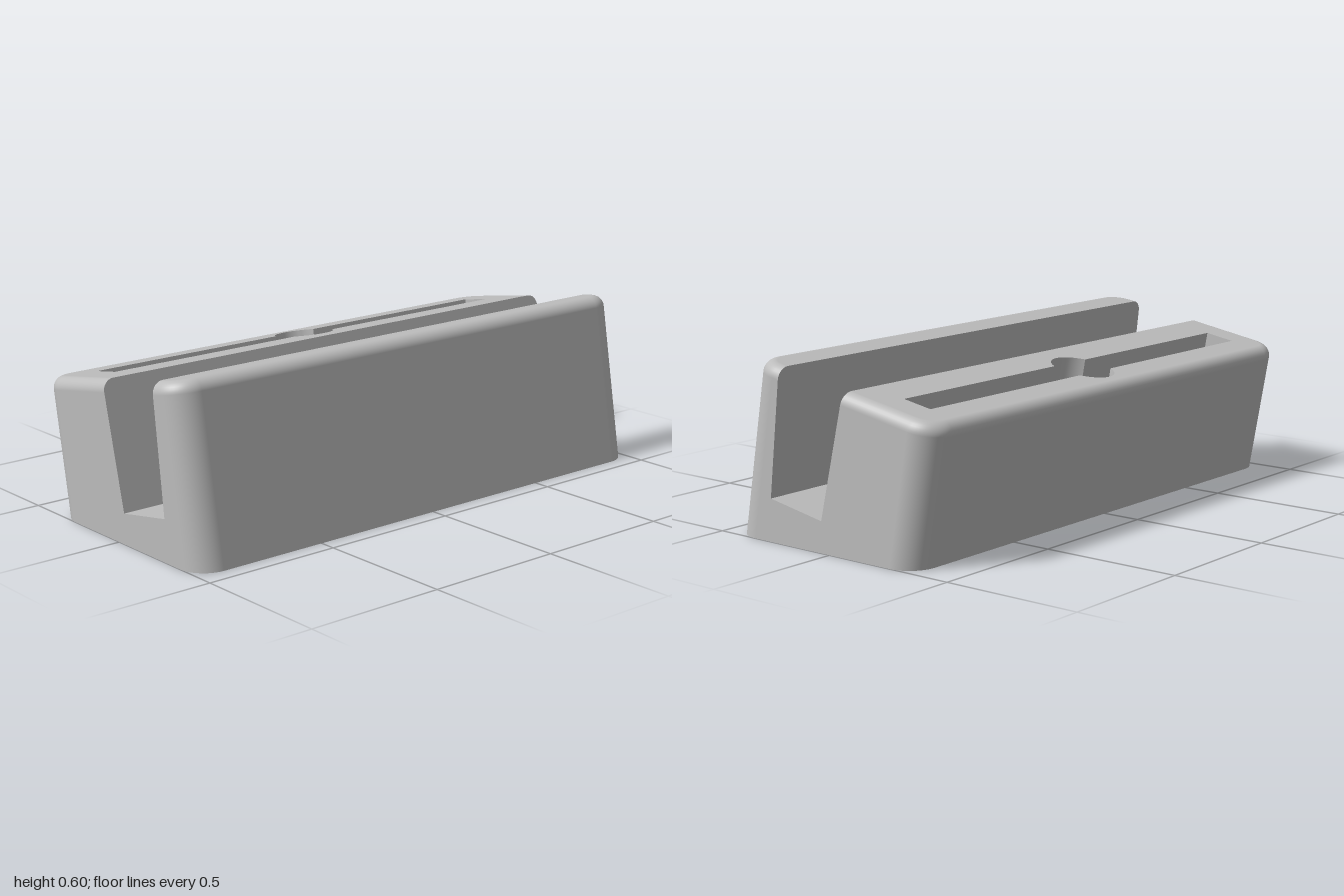
import * as THREE from 'three';
import { toCreasedNormals } from 'three/addons/utils/BufferGeometryUtils.js';

const TILT = THREE.MathUtils.degToRad(10);
const FRONT = 0.435, BACK = -0.3565, TOP = 0.543; // block limits in its tilted frame
const CORNER = 0.1, FILLET = 0.042;               // upright and top edge radii
const FLOOR = 0.1, MID = 0.168;                   // channel floor and centre
const SLOT_Z = -0.168, SLOT_X = 0.86, SLOT_H = 0.056, SLOT_FLOOR = 0.2;
const POCKET_A = 0.1, POCKET_B = 0.117, POCKET_FLOOR = 0.36;

// Half width of the tapered channel at height v
const channelHalf = (v) => 0.116 + ((v - FLOOR) / (TOP - FLOOR)) * 0.027;

// Surface through rings of [x, y, z] or [x, y, z, nx, ny, nz]; faces point to up x along
function loft(rings) {
  const n = rings[0].length, pts = rings.flat(), index = [];
  for (let i = 0; i < rings.length - 1; i++) {
    for (let j = 0; j < n - 1; j++) {
      const a = i * n + j, b = a + n;
      index.push(a, b, a + 1, b, b + 1, a + 1);
    }
  }
  const g = new THREE.BufferGeometry();
  g.setAttribute('position', new THREE.Float32BufferAttribute(pts.flatMap((p) => p.slice(0, 3)), 3));
  g.setIndex(index);
  if (pts[0].length === 6) {
    g.setAttribute('normal', new THREE.Float32BufferAttribute(pts.flatMap((p) => p.slice(3)), 3));
    return g;
  }
  return toCreasedNormals(g, 0.5);
}

// Flat face from [x, z] outlines at height y, facing up or down
function cap(outline, y, up, holes = []) {
  const s = up ? -1 : 1;
  const vec = (pts) => pts.map(([x, z]) => new THREE.Vector2(x, z * s));
  const shape = new THREE.Shape(vec(outline));
  shape.holes = holes.map((h) => new THREE.Path(vec(h)));
  return new THREE.ShapeGeometry(shape).rotateX((s * Math.PI) / 2).translate(0, y, 0);
}

// Inward-facing wall of a cavity with a counter-clockwise outline
function cavity(outline, y0, y1) {
  const loop = [...outline, outline[0]].reverse();
  return loft([y0, y1].map((y) => loop.map(([x, z]) => [x, y, z])));
}

function arc(cx, cz, a, b, from, to, steps) {
  return Array.from({ length: steps + 1 }, (_, i) => {
    const t = from + ((to - from) * i) / steps;
    return [cx + a * Math.cos(t), cz + b * Math.sin(t)];
  });
}

// Half of the rounded plan, from the channel edge w round the outside; inset d, normal tilt phi
function halfPlan(side, d, v, w, phi) {
  const centre = side > 0 ? FRONT - CORNER : BACK + CORNER, r = CORNER - d;
  const pts = [];
  const add = (x, z, nx, nz) => {
    const y = v === null ? -z * Math.tan(TILT) : v;
    pts.push([x, y, z, nx * Math.cos(phi), Math.sin(phi), nz * Math.cos(phi)]);
  };
  add(1 - d, w, 1, 0);
  for (const [cx, start] of [[1 - CORNER, 0], [CORNER - 1, Math.PI / 2]]) {
    for (let i = 0; i <= 12; i++) {
      const t = start + (i / 12) * (Math.PI / 2);
      const nx = Math.cos(t), nz = Math.sin(t) * side;
      add(cx + r * nx, centre + r * nz, nx, nz);
    }
  }
  add(d - 1, w, -1, 0);
  return side > 0 ? pts : pts.reverse();
}

export function createModel() {
  const model = new THREE.Group();
  model.name = 'desktopStand';
  const grey = new THREE.MeshStandardMaterial({ color: 0xbcbcbc });
  grey.name = 'light grey';
  const block = new THREE.Group();
  block.name = 'tiltedBlock';
  block.rotation.x = -TILT;
  model.add(block);
  const add = (parent, name, geometry) => {
    const mesh = new THREE.Mesh(geometry, grey);
    mesh.name = name;
    parent.add(mesh);
  };

  // Levels above the channel floor: straight wall, then the rounded top edge
  const levels = [{ d: 0, v: FLOOR, phi: 0 }];
  for (let i = 0; i <= 8; i++) {
    const phi = (i / 8) * (Math.PI / 2);
    levels.push({ d: FILLET * (1 - Math.cos(phi)), v: TOP - FILLET * (1 - Math.sin(phi)), phi });
  }

  // Slot outline widened by a round pocket in the middle
  const k = Math.asin(SLOT_H / POCKET_B);
  const nearArc = arc(0, SLOT_Z, POCKET_A, POCKET_B, Math.PI + k, 2 * Math.PI - k, 20);
  const farArc = arc(0, SLOT_Z, POCKET_A, POCKET_B, k, Math.PI - k, 20);
  const z0 = SLOT_Z - SLOT_H, z1 = SLOT_Z + SLOT_H;
  const slot = [[-SLOT_X, z0], [SLOT_X, z0], [SLOT_X, z1], [-SLOT_X, z1]];
  const opening = [slot[0], ...nearArc, slot[1], slot[2], ...farArc, slot[3]];

  // Front wall and back block, with their channel faces and tops
  for (const side of [1, -1]) {
    const name = side > 0 ? 'frontWall' : 'backBlock';
    const edge = (v) => MID + side * channelHalf(v);
    const rings = [
      halfPlan(side, 0, null, MID, 0),
      halfPlan(side, 0, FLOOR, MID, 0),
      ...levels.map((l) => halfPlan(side, l.d, l.v, edge(l.v), l.phi)),
    ];
    add(block, name, loft(rings));
    add(block, name + 'ChannelFace', loft(levels.map(({ d, v }) =>
      [[-side * (1 - d), v, edge(v)], [side * (1 - d), v, edge(v)]])));
    const top = rings[rings.length - 1].map((p) => [p[0], p[2]]);
    add(block, name + 'Top', cap(top, TOP, true, side > 0 ? [] : [opening]));
  }

  // Channel floor
  const h = channelHalf(FLOOR);
  add(block, 'channelFloor', loft([MID - h, MID + h].map((z) => [[-1, FLOOR, z], [1, FLOOR, z]])));

  // Slot and pocket interior
  add(block, 'slotUpperWalls', cavity(opening, POCKET_FLOOR, TOP));
  add(block, 'slotLowerWalls', cavity(slot, SLOT_FLOOR, POCKET_FLOOR));
  add(block, 'slotFloor', cap(slot, SLOT_FLOOR, true));
  add(block, 'pocketFloorBack', cap(nearArc, POCKET_FLOOR, true));
  add(block, 'pocketFloorFront', cap(farArc, POCKET_FLOOR, true));

  // Level underside with four shallow foot recesses
  const feet = [];
  for (const x of [-0.81, 0.81]) {
    for (const z of [-0.25, 0.25]) feet.push(arc(x, z, 0.065, 0.065, 0, 2 * Math.PI, 32).slice(0, -1));
  }
  const plan = [1, -1].flatMap((side) => halfPlan(side, 0, 0, MID, 0).slice(1, -1))
    .map((p) => [p[0], p[2] / Math.cos(TILT)]);
  add(model, 'underside', cap(plan, 0, false, feet));
  for (const foot of feet) {
    add(model, 'footRecessWall', cavity(foot, 0, 0.02));
    add(model, 'footRecessFloor', cap(foot, 0.02, false));
  }
  return model;
}
